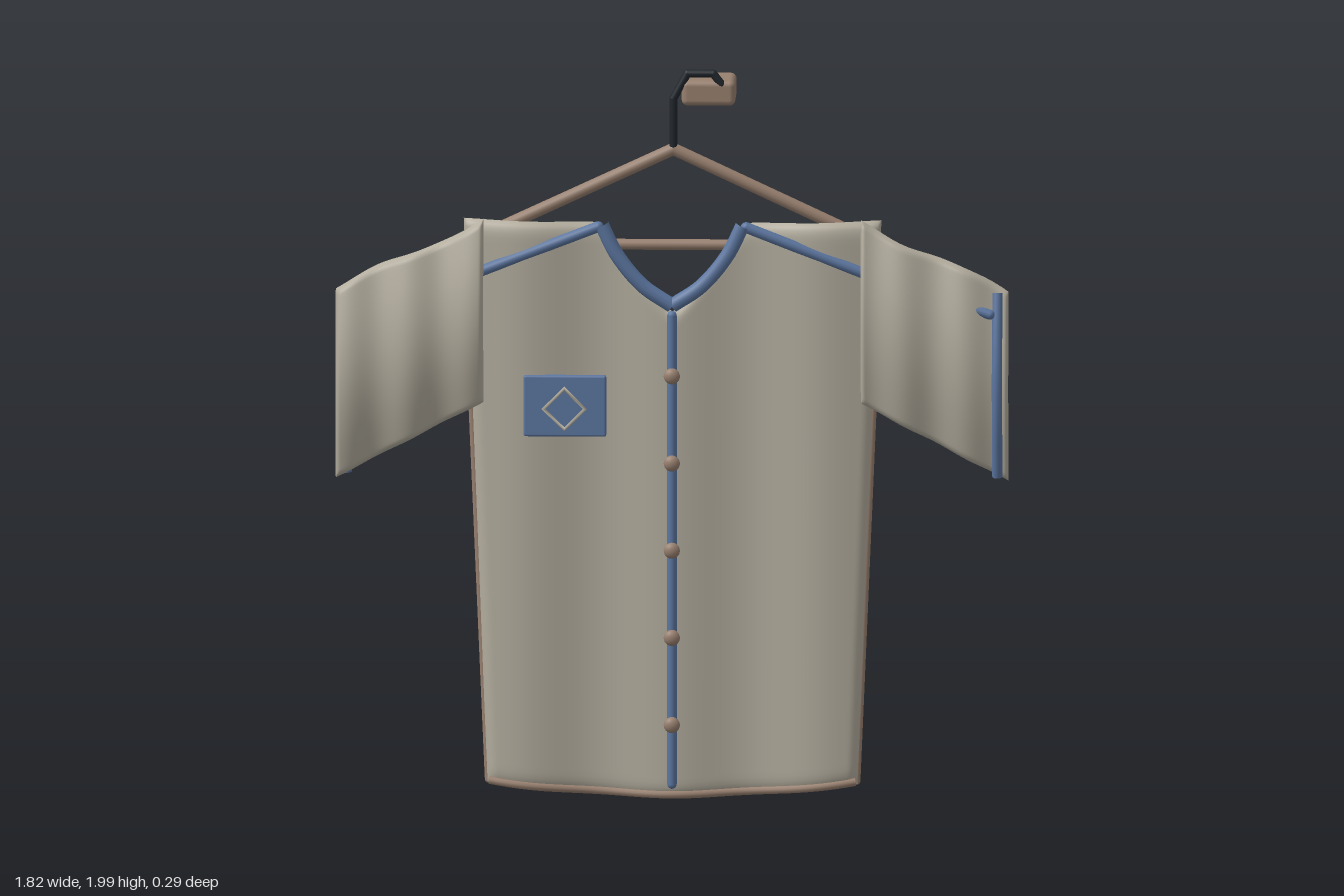
import * as THREE from 'three';
import { RoundedBoxGeometry } from 'three/addons/geometries/RoundedBoxGeometry.js';
import { mergeGeometries } from 'three/addons/utils/BufferGeometryUtils.js';

const mat = (color) => new THREE.MeshStandardMaterial({ color });
const cloth = mat(0xb3ad9e), blue = mat(0x5c76a0), wood = mat(0x98806f), iron = mat(0x20262c);
cloth.side = THREE.DoubleSide;
const V = (x, y, z) => new THREE.Vector3(x, y, z);

// Padded sheet of cloth: mid(u, v) gives the middle surface, edges are rounded off
function sheet(mid, half, nu, nv) {
  const ease = (t, n) => { // crowds rows towards the edges
    const s = t / n;
    return s - 0.12 * Math.sin(2 * Math.PI * s);
  };
  const round = (d) => Math.sqrt(1 - (1 - Math.min(1, d / 0.03)) ** 2);
  const side = (sign) => {
    const pos = [], idx = [];
    for (let j = 0; j <= nv; j++) for (let i = 0; i <= nu; i++) {
      const u = ease(i, nu), v = ease(j, nv);
      const [x, y, z] = mid(u, v);
      const t = round(Math.min(u, 1 - u)) * round(Math.min(v, 1 - v));
      pos.push(x, y, z + sign * half * t);
      if (i < nu && j < nv) {
        const a = j * (nu + 1) + i, b = a + 1, c = a + nu + 1, d = c + 1;
        if (sign > 0) idx.push(a, b, d, a, d, c);
        else idx.push(a, d, b, a, c, d);
      }
    }
    const g = new THREE.BufferGeometry();
    g.setAttribute('position', new THREE.Float32BufferAttribute(pos, 3));
    g.setIndex(idx);
    g.computeVertexNormals();
    return g;
  };
  return mergeGeometries([side(1), side(-1)]);
}

export function createModel() {
  const model = new THREE.Group();
  const add = (name, geo, material, x = 0, y = 0, z = 0) => {
    const m = new THREE.Mesh(geo, material);
    m.name = name;
    m.position.set(x, y, z);
    model.add(m);
    return m;
  };
  // Straight rod with round ends
  const rod = (name, a, b, r, material) => {
    const m = add(name, new THREE.CapsuleGeometry(r, a.distanceTo(b), 4, 12), material);
    m.position.copy(a).lerp(b, 0.5);
    m.quaternion.setFromUnitVectors(V(0, 1, 0), b.clone().sub(a).normalize());
  };
  const tube = (name, pts, r, material) =>
    add(name, new THREE.TubeGeometry(new THREE.CatmullRomCurve3(pts), 40, r, 10), material);

  // Torso with V neck, curved hem and vertical folds
  const fold = (x) => 0.052 + 0.014 * Math.cos((2 * Math.PI * x) / 0.4);
  const hemY = (u) => 0.015 + 0.035 * u * u;
  const torso = (s, v) => {
    const u = 2 * s - 1, n = Math.min(1, Math.abs(u) / 0.35);
    const top = 1.35 + 0.24 * Math.pow(n, 1.2) + 0.015 * Math.max(0, Math.abs(u) - 0.35);
    const x = u * (0.5 + 0.065 * v);
    return [x, hemY(u) + (top - hemY(u)) * v, fold(x)];
  };
  add('torso', sheet(torso, 0.022, 80, 40), cloth);

  // Hem piping and side seams
  const hem = [];
  for (let i = 0; i <= 24; i++) {
    const u = i / 12 - 1;
    hem.push(V(u * 0.495, hemY(u) + 0.008, fold(u * 0.495) + 0.015));
  }
  tube('hemPiping', hem, 0.011, wood);

  for (const s of [1, -1]) {
    rod('sideSeam', V(s * 0.498, 0.055, 0.04), V(s * 0.562, 1.55, 0.045), 0.01, wood);
    rod('shoulderPiping', V(s * 0.2, 1.585, 0.08), V(s * 0.52, 1.46, 0.08), 0.015, blue);

    // Sleeve bulging forward, rippled along its length
    const bulge = (v) => 0.072 + 0.043 * Math.sin(Math.PI * v);
    const sleeve = (p, v) => {
      const u = s > 0 ? p : 1 - p;
      const x = 0.51 + 0.4 * u;
      const low = 1.1 - 0.21 * u, high = 1.605 - 0.195 * u - 0.01 * Math.sin(2 * Math.PI * u);
      const ripple = -s * 0.009 * Math.sin((2 * Math.PI * (x - 0.8375)) / 0.17);
      return [s * x, low + (high - low) * v, bulge(v) + ripple];
    };
    add('sleeve', sheet(sleeve, 0.02, 48, 24), cloth);

    // Cuff band and sleeve piping, showing on opposite faces of the two sleeves
    const cuff = [];
    for (let i = 0; i <= 10; i++) {
      const v = i / 10;
      cuff.push(V(s * 0.88, 0.905 + 0.505 * v, bulge(v) + (s > 0 ? 0.016 : -0.014)));
    }
    tube('cuffBand', cuff, 0.014, blue);
    rod('sleevePiping', V(s * 0.52, 1.46, s > 0 ? 0.07 : 0.065), V(s * 0.86, 1.355, s > 0 ? 0.11 : 0.065), 0.014, blue);

    // Collar half
    tube('collar', [V(s * 0.19, 1.59, 0.083), V(s * 0.15, 1.51, 0.085),
      V(s * 0.08, 1.425, 0.086), V(0, 1.37, 0.087)], 0.02, blue);
    // Hanger arm
    rod('hangerArm', V(0, 1.78, -0.025), V(s * 0.555, 1.52, -0.025), 0.017, wood);
  }

  // Button placket
  rod('placket', V(0, 0.055, 0.097), V(0, 1.345, 0.097), 0.013, blue);
  for (let i = 0; i < 5; i++)
    add('button', new THREE.SphereGeometry(0.022, 16, 12), wood, 0, 0.22 + 0.24 * i, 0.11).scale.z = 0.7;

  // Chest patch with diamond outline
  add('chestPatch', new RoundedBoxGeometry(0.224, 0.168, 0.022, 2, 0.006), blue, -0.29, 1.093, 0.086);
  add('patchDiamond', new THREE.TorusGeometry(0.056, 0.006, 8, 4), cloth, -0.29, 1.093, 0.136);

  // Hanger bar, hook and wall peg
  rod('hangerBar', V(-0.555, 1.517, -0.025), V(0.555, 1.517, -0.025), 0.015, wood);
  const hook = [V(0, 1.79, -0.02), V(0, 1.92, -0.02), V(0.038, 1.989, -0.02), V(0.108, 1.989, -0.02), V(0.13, 1.96, -0.02)];
  for (let i = 0; i < 4; i++) rod('hook', hook[i], hook[i + 1], 0.011, iron);
  add('wallPeg', new RoundedBoxGeometry(0.145, 0.07, 0.14, 3, 0.016), wood, 0.095, 1.935, -0.08);

  return model;
}
